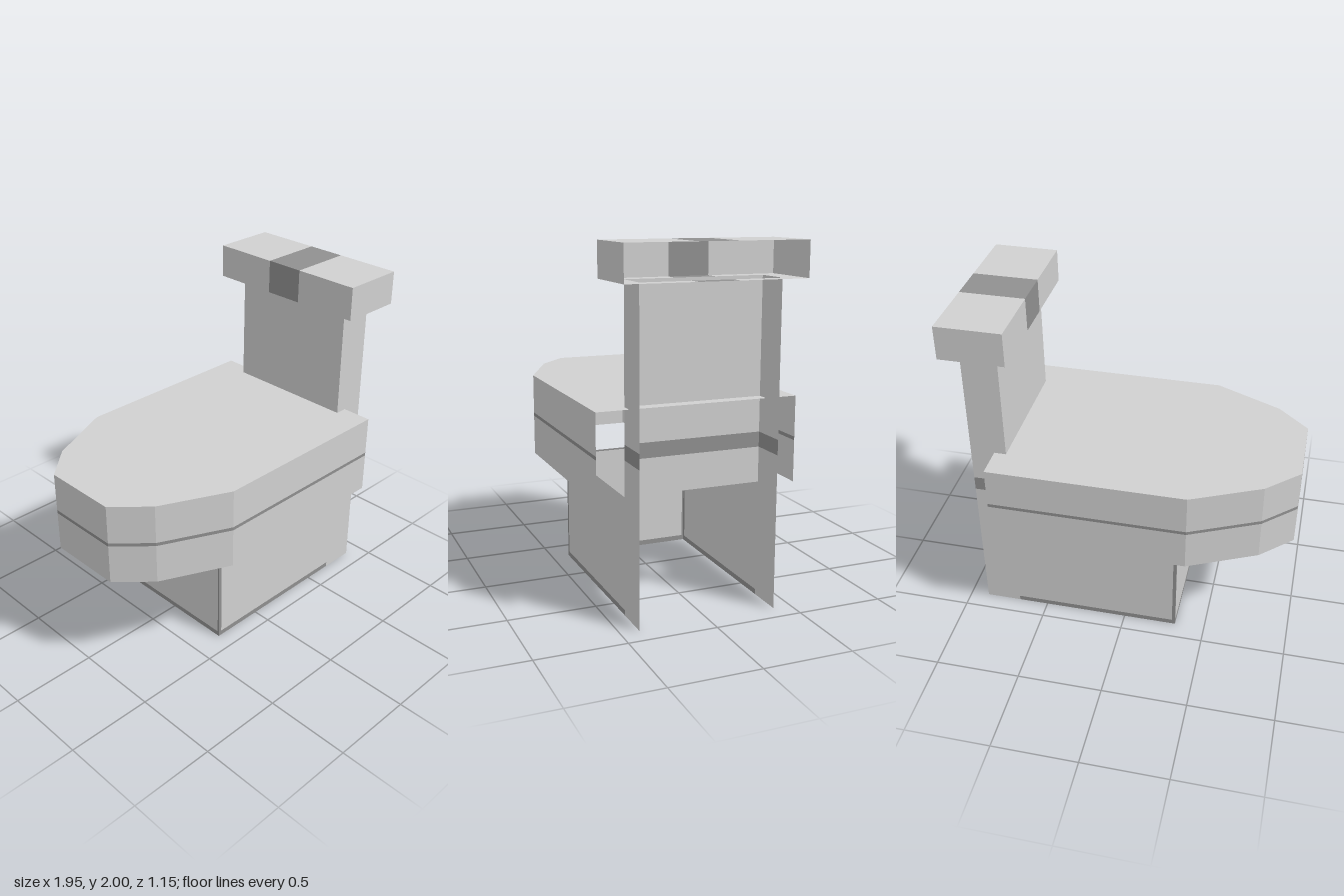
import * as THREE from 'three';

const makeMat = (name, color) => {
  const m = new THREE.MeshStandardMaterial({ color, side: THREE.DoubleSide });
  m.name = name;
  return m;
};

// Flat-shaded sheet joining two matching rows of points
function sheet(rowA, rowB) {
  const pos = [];
  for (let i = 0; i < rowA.length - 1; i++) {
    const a = rowA[i], b = rowA[i + 1], c = rowB[i + 1], d = rowB[i];
    pos.push(...a, ...b, ...c, ...a, ...c, ...d);
  }
  const g = new THREE.BufferGeometry();
  g.setAttribute('position', new THREE.Float32BufferAttribute(pos, 3));
  g.computeVertexNormals();
  return g;
}

// Upright wall along an [x, z] path
const wall = (path, y0, y1) =>
  sheet(path.map(([x, z]) => [x, y0, z]), path.map(([x, z]) => [x, y1, z]));

// An [x, y] profile swept along z
const sweep = (profile, z0, z1) =>
  sheet(profile.map(([x, y]) => [x, y, z1]), profile.map(([x, y]) => [x, y, z0]));

export function createModel() {
  const light = makeMat('lightGrey', 0xd0d0d0);
  const dark = makeMat('darkGrey', 0x909090);
  const model = new THREE.Group();
  model.name = 'toilet';

  const group = (name) => {
    const g = new THREE.Group();
    g.name = name;
    model.add(g);
    return g;
  };
  const add = (parent, name, geometry, material) => {
    const m = new THREE.Mesh(geometry, material);
    m.name = name;
    parent.add(m);
  };

  const W = 0.395;                       // half width of base and tank
  const front = -0.32, tankX = 0.68, back = 0.89;
  const seatY = 0.665, bowlTop = 1.15, lidY = 1.805;

  // Bowl: faceted wall, open below and behind, closed by a flat top
  const bowl = group('bowl');
  const half = [[0.75, 0.577], [-0.395, 0.577], [-0.79, 0.395], [-0.975, 0.222]];
  const outline = [...half, ...half.map(([x, z]) => [x, -z]).reverse()];
  add(bowl, 'bowlLowerWall', wall(outline, seatY, 0.9), light);
  add(bowl, 'bowlStripe', wall(outline, 0.9, 0.92), dark);
  add(bowl, 'bowlUpperWall', wall(outline, 0.92, bowlTop), light);
  const top = new THREE.ShapeGeometry(
    new THREE.Shape(outline.map(([x, z]) => new THREE.Vector2(x, -z))));
  top.rotateX(-Math.PI / 2).translate(0, bowlTop, 0);
  add(bowl, 'bowlTop', top, light);

  // Base: three panels with dark trim along the edges
  const base = group('base');
  const trimY = 0.03, trimX = 0.02, trimZ = 0.01;
  add(base, 'bottomTrim',
    wall([[tankX, W], [front, W], [front, -W], [tankX, -W]], 0, trimY), dark);
  add(base, 'frontPanel',
    wall([[front, W - trimZ], [front, trimZ - W]], trimY, seatY - trimZ), light);
  add(base, 'frontTopTrim',
    wall([[front, W - trimZ], [front, trimZ - W]], seatY - trimZ, seatY), dark);
  for (const s of [1, -1]) {
    add(base, 'sidePanel', wall([[tankX, s * W], [front + trimX, s * W]], trimY, seatY), light);
    add(base, 'rearSidePanel', wall([[back, s * W], [tankX, s * W]], 0, seatY), light);
    add(base, 'cornerTrim',
      wall([[front + trimX, s * W], [front, s * W], [front, s * (W - trimZ)]], trimY, seatY), dark);
  }

  // Tank: upright channel, open at the back, with a dark band
  const tank = group('tank');
  const channel = [[back, W], [tankX, W], [tankX, -W], [back, -W]];
  add(tank, 'tankLowerWall', wall(channel, seatY, 0.865), light);
  add(tank, 'tankBand', wall(channel, 0.865, 0.95), dark);
  add(tank, 'tankUpperWall', wall(channel, 0.95, lidY), light);

  // Lid: hollow box open at the back, with a stripe across the middle
  const lid = group('lid');
  const L0 = 0.595, L1 = 0.97, LZ = 0.505, SZ = 0.115;
  const shell = [[L1, 2], [L0, 2], [L0, lidY], [tankX, lidY]];
  for (const [z0, z1, mat, name] of [
    [-LZ, -SZ, light, 'lidRight'], [-SZ, SZ, dark, 'lidStripe'], [SZ, LZ, light, 'lidLeft']]) {
    add(lid, name, sweep(shell, z0, z1), mat);
    add(lid, name + 'RearLip', sweep([[back, lidY], [L1, lidY]], z0, z1), mat);
  }
  for (const s of [1, -1]) {
    add(lid, 'lidEnd', wall([[L0, s * LZ], [L1, s * LZ]], lidY, 2), light);
    add(lid, 'lidSideLip', sweep([[tankX, lidY], [back, lidY]], s * W, s * LZ), light);
  }

  return model;
}
